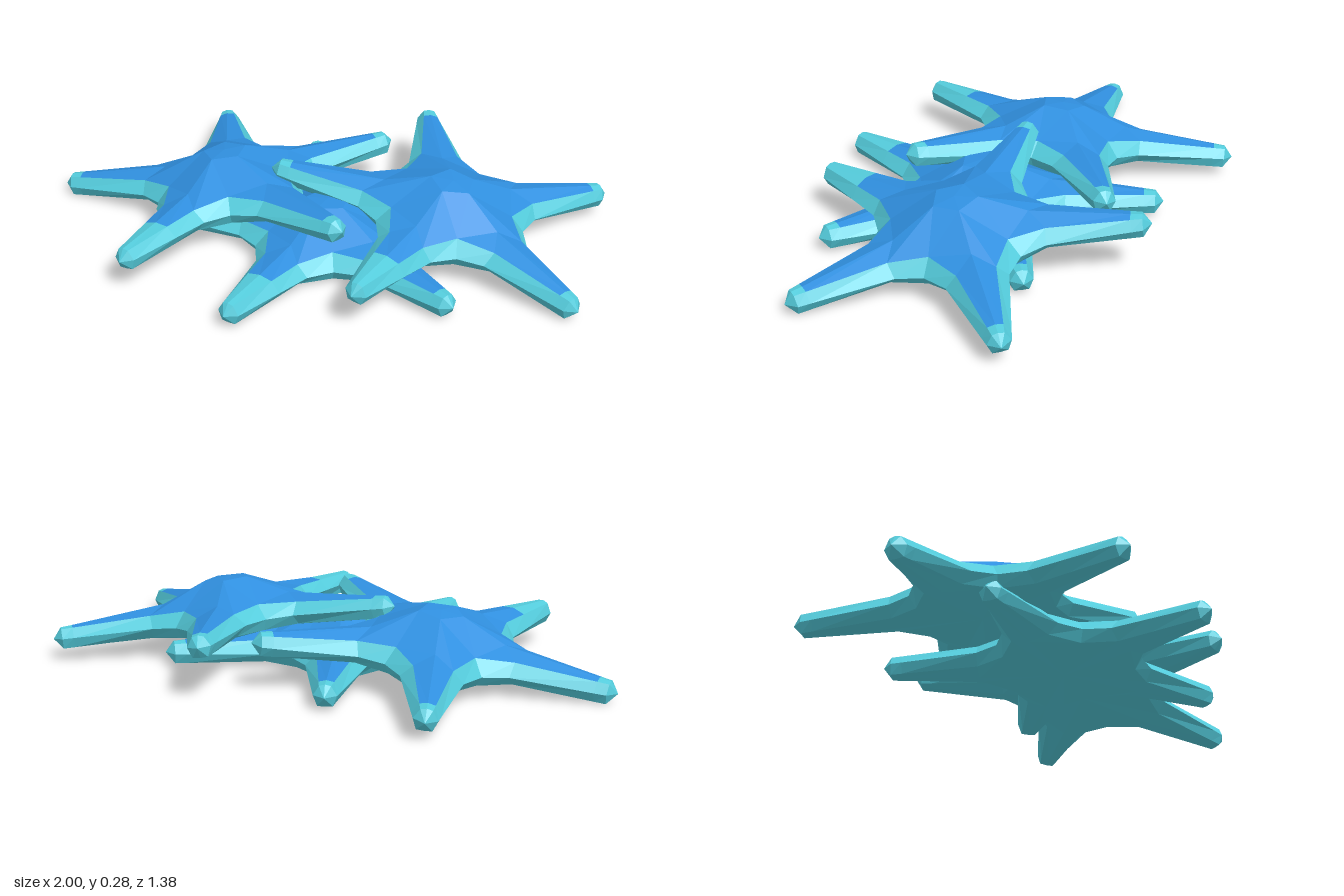
import * as THREE from 'three';

const blue = new THREE.MeshStandardMaterial({ color: 0x3090e0, flatShading: true });
blue.name = 'blue back';
const teal = new THREE.MeshStandardMaterial({ color: 0x54ccdc, flatShading: true });
teal.name = 'teal rim';

const STEP = (Math.PI * 2) / 5;
const mix = THREE.MathUtils.lerp;

// Point on the line between two neighbouring arms, as [along, across, height]
const valley = (r, y) => [r * Math.cos(STEP / 2), r * Math.sin(STEP / 2), y];

// Half cross-section of an arm: ridge, blue edge, rim, lower edge, keel
function section(r) {
  const t = (r - 0.3) / 0.315;
  const rim = mix(0.105, 0.04, t);
  return [
    [r, 0, mix(0.054, 0.038, t)],
    [r, mix(0.066, 0.02, t), mix(0.042, 0.033, t)],
    [r, rim, 0],
    [r, rim * 0.65, -0.036],
    [r, 0, mix(-0.05, -0.038, t)],
  ];
}

// Rows of cross-sections from the disc out to the blunt tip
function armRows(blueEnd) {
  const shoulder = section(0.3);
  shoulder[0] = [0.24, 0, 0.067];
  return [
    [[0.08, 0, 0.13], valley(0.225, 0.05), valley(0.275, 0), valley(0.25, -0.04), [0, 0, -0.052]],
    shoulder,
    section(blueEnd),
    section(0.615),
    Array.from({ length: 5 }, () => [0.645, 0, 0]),
  ];
}

function facets(points, material, name) {
  const geometry = new THREE.BufferGeometry();
  geometry.setAttribute('position', new THREE.Float32BufferAttribute(points, 3));
  geometry.computeVertexNormals();
  const mesh = new THREE.Mesh(geometry, material);
  mesh.name = name;
  return mesh;
}

function makeStarfish(name) {
  const back = [], rim = [];
  const place = ([r, w, y], k, s = 1) => {
    const a = k * STEP, c = Math.cos(a), n = Math.sin(a);
    return [r * n + s * w * c, y, r * c - s * w * n];
  };
  const tri = (list, a, b, c) => list.push(...a, ...b, ...c);

  for (let k = 0; k < 5; k++) {
    // The front arm's blue patch is shorter
    const rows = armRows(k === 0 ? 0.43 : 0.575);
    for (const s of [1, -1]) {
      for (let i = 0; i < 4; i++) {
        for (let j = 0; j < 4; j++) {
          const list = j === 0 && i < 2 ? back : rim;
          const q = [rows[i][j], rows[i + 1][j], rows[i + 1][j + 1], rows[i][j + 1]]
            .map((p) => place(p, k, s));
          if (s < 0) q.reverse();
          tri(list, q[0], q[1], q[2]);
          tri(list, q[0], q[2], q[3]);
        }
      }
    }
    // Central hump
    const here = place(rows[0][0], k), next = place(rows[0][0], k + 1);
    tri(back, [0, 0.135, 0], here, next);
    tri(back, here, place(rows[0][1], k), next);
  }

  const star = new THREE.Group();
  star.name = name;
  star.add(facets(back, blue, name + 'Back'), facets(rim, teal, name + 'RimAndUnderside'));
  return star;
}

export function createModel() {
  const group = new THREE.Group();
  group.name = 'starfishPile';
  // name, centre, sideways tilt
  const stars = [
    ['bottomStarfish', [0.03, 0.062, 0.045], 0],
    ['rightStarfish', [-0.395, 0.13, 0.045], 0.14],
    ['leftStarfish', [0.388, 0.146, -0.17], -0.157],
  ];
  for (const [name, position, tilt] of stars) {
    const star = makeStarfish(name);
    star.position.set(...position);
    star.rotation.z = tilt;
    group.add(star);
  }
  return group;
}
